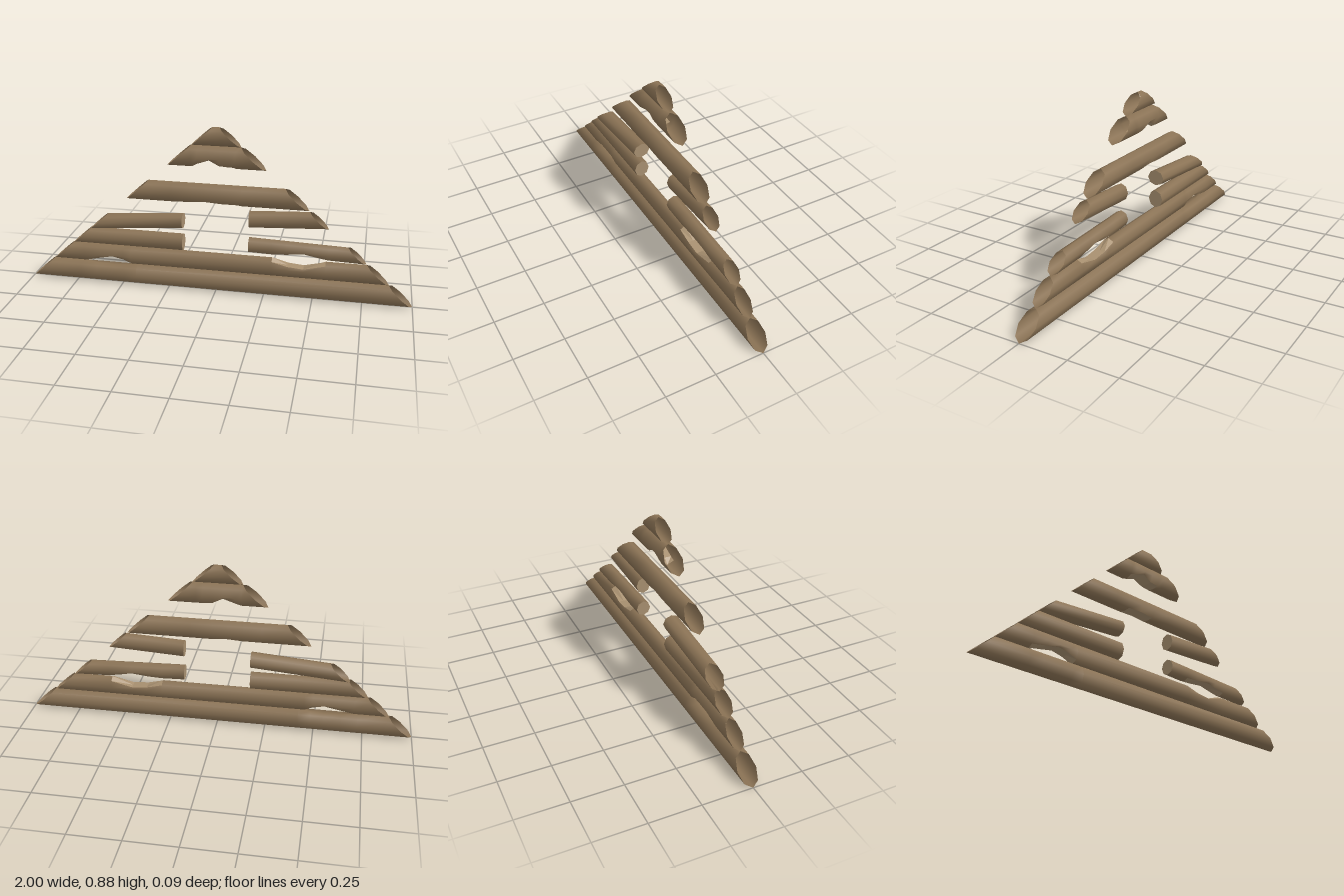
import * as THREE from 'three';

const SIDES = 8;
const bark = new THREE.MeshStandardMaterial({ color: 0x8b7355, side: THREE.DoubleSide });
bark.name = 'bark';
const cutWood = new THREE.MeshStandardMaterial({ color: 0xa89070, side: THREE.DoubleSide });
cutWood.name = 'cutWood';

// Half width of the gable at a height
const roofX = (y) => 1 - 1.12 * y;

// Piecewise linear lookup of [x, y] points; undefined outside them
function lookup(points, x) {
  for (let i = 0; points && i < points.length - 1; i++) {
    const [x0, y0] = points[i], [x1, y1] = points[i + 1];
    if (x >= x0 && x <= x1) return y0 + ((y1 - y0) * (x - x0)) / (x1 - x0);
  }
  return undefined;
}

function makeMesh(positions, index, material, name, flat) {
  let geo = new THREE.BufferGeometry();
  geo.setAttribute('position', new THREE.Float32BufferAttribute(positions, 3));
  geo.setIndex(index);
  if (flat) geo = geo.toNonIndexed();
  geo.computeVertexNormals();
  const mesh = new THREE.Mesh(geo, material);
  mesh.name = name;
  return mesh;
}

// A log along x. from / to: sawn square there, otherwise mitred to the roof slope.
// top / bottom: outlines of hollows cut into the log.
function makeLog({ name, y, tilt = 0, ry, rz, from, to, top, bottom }) {
  const group = new THREE.Group();
  group.name = name;
  const stations = [...(bottom || []), ...(top || [])].map((p) => p[0]);
  const xs = ['start', ...[...new Set(stations)].sort((a, b) => a - b), 'end'];
  const positions = [], trimmed = [];

  for (const s of xs) {
    for (let j = 0; j < SIDES; j++) {
      const a = (j / SIDES) * Math.PI * 2;
      const dy = ry * Math.cos(a), z = rz * Math.sin(a);
      let x = s;
      if (s === 'start' || s === 'end') {
        const sign = s === 'start' ? -1 : 1;
        const square = s === 'start' ? from : to;
        x = square ?? 0;
        for (let k = 0; square === undefined && k < 8; k++) x = sign * roofX(y + tilt * x + dy);
      }
      let py = y + tilt * x + dy, cut = false;
      if (typeof s === 'number') {
        const lo = lookup(bottom, x), hi = lookup(top, x);
        if (lo !== undefined && py < lo - 0.001) { py = lo; cut = true; }
        if (hi !== undefined && py > hi + 0.001) { py = hi; cut = true; }
      }
      positions.push(x, py, z);
      trimmed.push(cut);
    }
  }

  // Round bark and hollowed faces
  const barkIndex = [], cutIndex = [];
  for (let i = 0; i < xs.length - 1; i++) {
    for (let j = 0; j < SIDES; j++) {
      const a = i * SIDES + j, b = i * SIDES + ((j + 1) % SIDES);
      const c = a + SIDES, d = b + SIDES;
      const isCut = (trimmed[a] && trimmed[b]) || (trimmed[c] && trimmed[d]);
      (isCut ? cutIndex : barkIndex).push(a, b, c, b, d, c);
    }
  }

  // Sawn end faces beside the doorway
  const last = (xs.length - 1) * SIDES;
  for (let j = 1; j < SIDES - 1; j++) {
    if (from !== undefined) cutIndex.push(0, j + 1, j);
    if (to !== undefined) cutIndex.push(last, last + j, last + j + 1);
  }

  group.add(makeMesh(positions, barkIndex, bark, name + 'Bark', false));
  if (cutIndex.length) group.add(makeMesh(positions, cutIndex, cutWood, name + 'CutFaces', true));
  return group;
}

const logs = [
  // Full-length logs at the foot of the gable
  { name: 'bottomLog', y: 0.055, ry: 0.055, rz: 0.047,
    top: [[-0.72, 0.111], [-0.64, 0.098], [-0.55, 0.094], [-0.48, 0.1], [-0.42, 0.111]] },
  { name: 'secondLog', y: 0.16, ry: 0.051, rz: 0.038,
    bottom: [[-0.7, 0.108], [-0.62, 0.139], [-0.55, 0.153], [-0.49, 0.14], [-0.45, 0.108]],
    top: [[0.29, 0.212], [0.37, 0.176], [0.45, 0.169], [0.56, 0.212]] },
  // Short logs either side of the doorway
  { name: 'lowerRightDoorLog', y: 0.257, ry: 0.047, rz: 0.04, to: -0.17 },
  { name: 'upperRightDoorLog', y: 0.389, tilt: 0.08, ry: 0.041, rz: 0.045, to: -0.17 },
  { name: 'lowerLeftDoorLog', y: 0.277, tilt: -0.03, ry: 0.041, rz: 0.038, from: 0.17,
    bottom: [[0.29, 0.226], [0.36, 0.243], [0.45, 0.253], [0.5, 0.243], [0.57, 0.218]] },
  { name: 'upperLeftDoorLog', y: 0.401, tilt: 0.055, ry: 0.045, rz: 0.038, from: 0.17 },
  // Logs above the doorway
  { name: 'lintelLog', y: 0.53, ry: 0.054, rz: 0.045,
    bottom: [[-0.22, 0.475], [-0.13, 0.488], [-0.05, 0.497], [0.03, 0.488], [0.13, 0.475]] },
  { name: 'upperLog', y: 0.726, ry: 0.056, rz: 0.047,
    bottom: [[-0.12, 0.669], [-0.09, 0.695], [-0.03, 0.716], [0.02, 0.69], [0.07, 0.682], [0.1, 0.669]] },
  { name: 'ridgeLog', y: 0.829, ry: 0.048, rz: 0.038 },
];

export function createModel() {
  const model = new THREE.Group();
  model.name = 'logGableWall';
  for (const log of logs) model.add(makeLog(log));
  return model;
}
